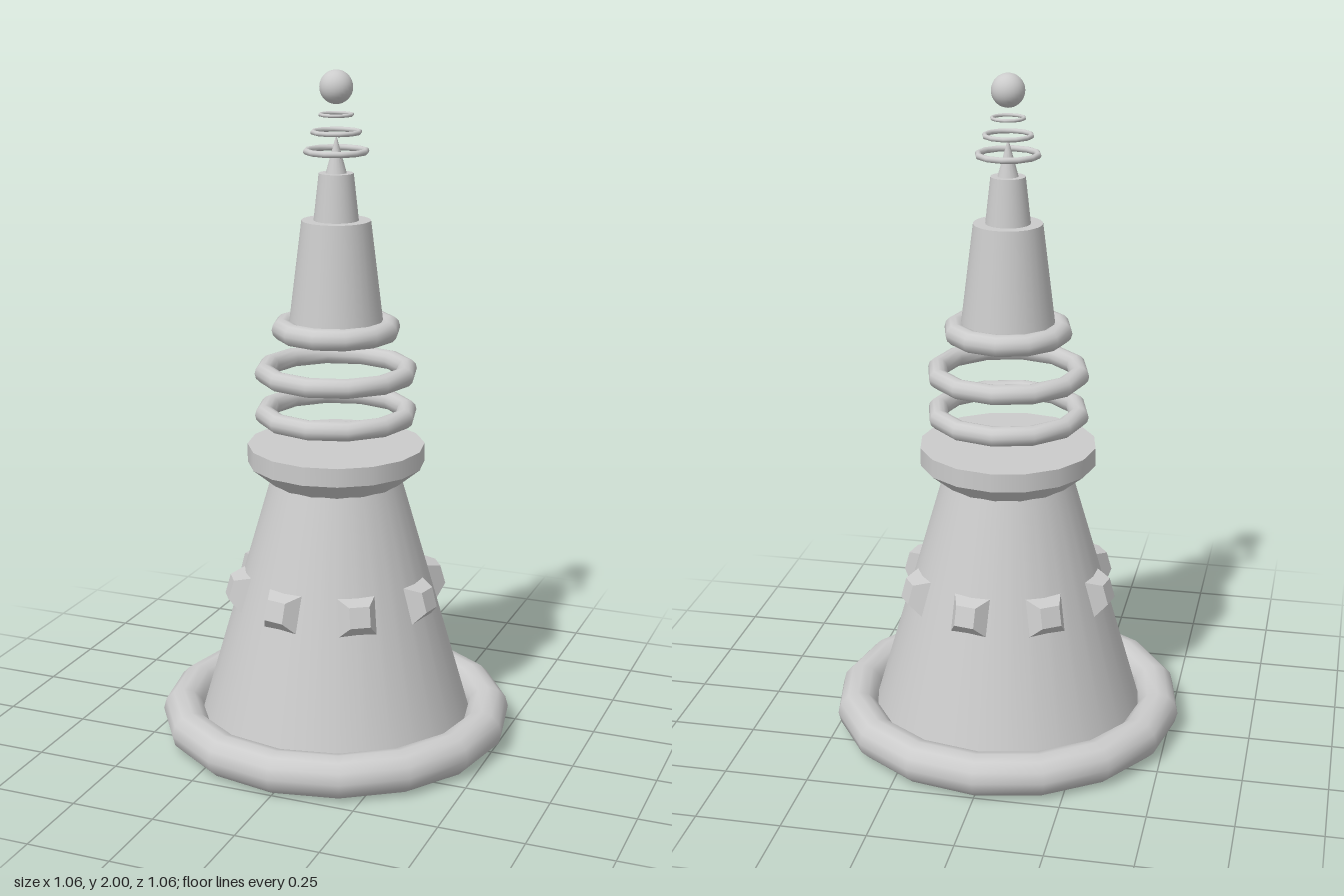
import * as THREE from 'three';

export function createModel() {
  const model = new THREE.Group();
  const smooth = new THREE.MeshStandardMaterial({ color: 0xcccccc });
  const thin = new THREE.MeshStandardMaterial({ color: 0xcccccc, side: THREE.DoubleSide });
  const flat = new THREE.MeshStandardMaterial({ color: 0xcccccc, flatShading: true });

  function add(name, geometry, y, material = smooth) {
    const mesh = new THREE.Mesh(geometry, material);
    mesh.name = name;
    mesh.position.y = y;
    model.add(mesh);
    return mesh;
  }

  // Horizontal ring, radius measured to the middle of its tube
  function ring(name, y, radius, tube, sides) {
    add(name, new THREE.TorusGeometry(radius, tube, 12, sides).rotateX(Math.PI / 2), y);
  }

  // Tapered section running from y0 to y1
  function taper(name, y0, y1, r0, r1, sides = 32, open = false, material = smooth) {
    const geometry = new THREE.CylinderGeometry(r1, r0, y1 - y0, sides, 1, open);
    add(name, geometry, (y0 + y1) / 2, material);
  }

  // Hollow skirt standing on a thick faceted ring
  ring('baseRing', 0.0625, 0.467, 0.0625, 16);
  taper('skirt', 0.06, 0.81, 0.409, 0.192, 32, true, thin);

  // Studs around the skirt, leaning with its slope
  const lean = Math.atan(0.289);
  const studShape = new THREE.CylinderGeometry(0.03 * Math.SQRT2, 0.06 * Math.SQRT2, 0.05, 4)
    .rotateY(Math.PI / 4)
    .rotateZ(lean - Math.PI / 2)
    .translate(0.301, 0, 0);
  for (let i = 0; i < 8; i++) {
    const stud = add('stud', studShape, 0.476, flat);
    stud.rotation.y = -(THREE.MathUtils.degToRad(11.2) + i * Math.PI / 4);
  }

  // Flared collar
  taper('collarFlare', 0.8, 0.855, 0.195, 0.262, 16);
  taper('collarBand', 0.855, 0.91, 0.262, 0.262, 16);

  // Floating rings of the open waist
  ring('waistRing', 1.005, 0.211, 0.029, 12);
  ring('waistRing', 1.13, 0.211, 0.029, 12);

  // Upper tower and spike
  ring('towerRing', 1.258, 0.157, 0.032, 12);
  taper('tower', 1.25, 1.575, 0.14, 0.1);
  taper('neck', 1.575, 1.71, 0.065, 0.05);
  taper('spike', 1.71, 1.815, 0.03, 0.001, 16);

  // Shrinking halo rings and the ball at the top
  ring('haloRing', 1.772, 0.086, 0.009, 12);
  ring('haloRing', 1.826, 0.067, 0.007, 12);
  ring('haloRing', 1.875, 0.046, 0.005, 12);
  add('topBall', new THREE.SphereGeometry(0.048, 24, 16), 1.952);

  return model;
}
